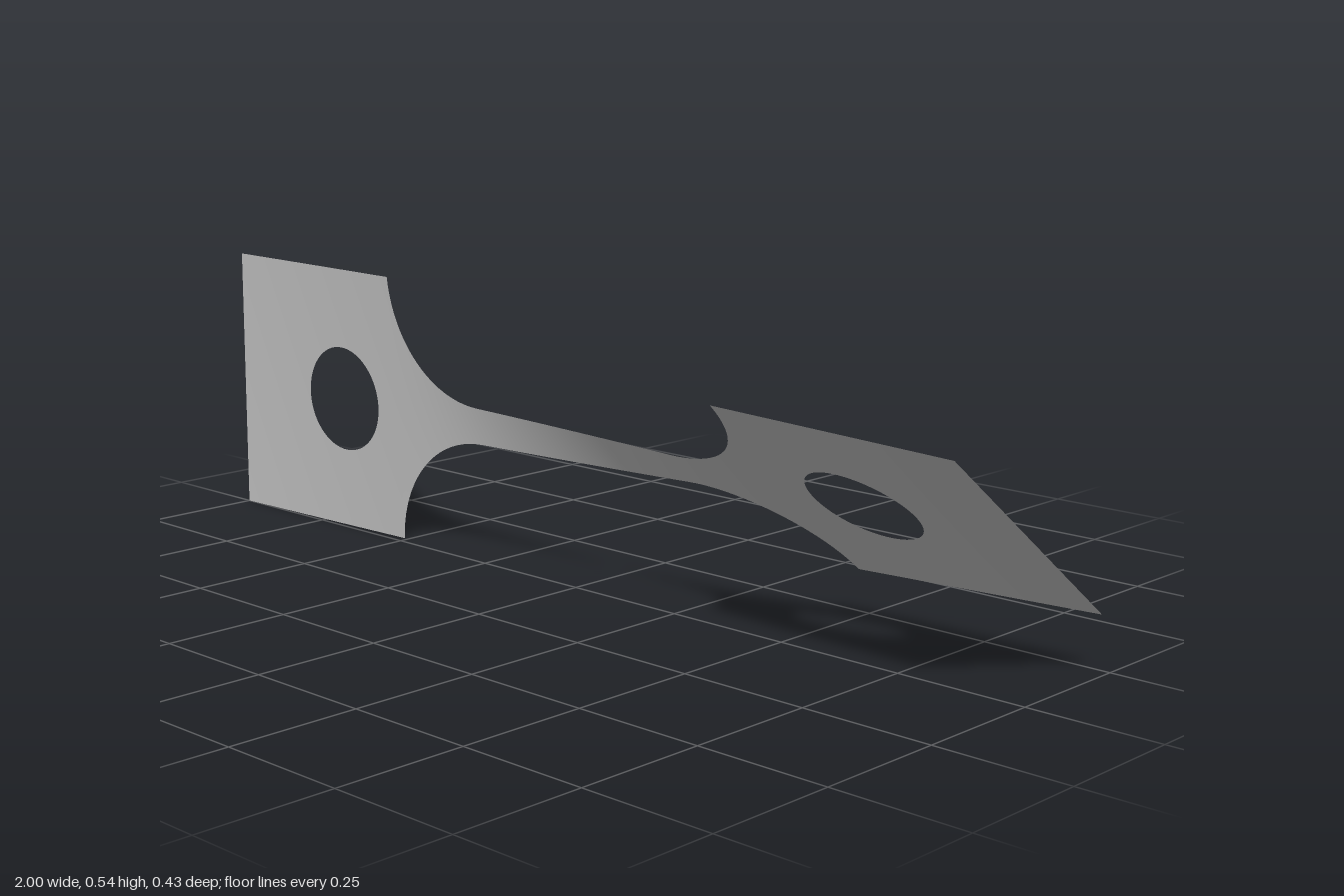
import * as THREE from 'three';

const CENTRE_Y = 0.271;          // height of the long axis
const GRIP_HALF = 0.271;         // half width of the end plates
const GAUGE_HALF = 0.038;        // half width of the narrow middle
const GRIP_X = 0.508;            // where the end plates begin
const FILLET_X = 0.262;          // where the straight middle ends
const HOLE_X = 0.67, HOLE_R = 0.108;
const TWIST = THREE.MathUtils.degToRad(52.9);

// Fillet arc, tangent to the narrow middle and reaching the plate corner
const run = GRIP_X - FILLET_X, rise = GRIP_HALF - GAUGE_HALF;
const FILLET_R = (run * run + rise * rise) / (2 * rise);

function halfWidth(x) {
  const a = Math.abs(x);
  if (a >= GRIP_X) return GRIP_HALF;
  if (a <= FILLET_X) return GAUGE_HALF;
  const d = a - FILLET_X;
  return GAUGE_HALF + FILLET_R - Math.sqrt(Math.max(0, FILLET_R * FILLET_R - d * d));
}

function holeHalf(x) {
  const d = Math.abs(x) - HOLE_X;
  return Math.sqrt(Math.max(0, HOLE_R * HOLE_R - d * d));
}

// Torsion of a thin strip: the twist rate is inverse to the local width
const STEPS = 1000;
const angles = [0];
for (let i = 0; i < STEPS; i++) {
  angles.push(angles[i] + 1 / halfWidth(-1 + (2 * (i + 0.5)) / STEPS));
}
const scale = TWIST / angles[STEPS];
function twistAt(x) {
  const t = THREE.MathUtils.clamp(((x + 1) / 2) * STEPS, 0, STEPS);
  const i = Math.min(STEPS - 1, Math.floor(t));
  return scale * THREE.MathUtils.lerp(angles[i], angles[i + 1], t - i);
}

// Twisted sheet over ascending columns; each column has a lower and an upper span
function sheet(columns, rows) {
  const pos = [], norm = [], index = [];
  for (const side of [-1, 1]) {
    const base = pos.length / 3;
    for (const x of columns) {
      const a = twistAt(x), c = Math.cos(a), s = Math.sin(a);
      const rate = (scale * STEPS) / 2 / halfWidth(x);
      const inner = side * holeHalf(x), outer = side * halfWidth(x);
      const from = Math.min(inner, outer), to = Math.max(inner, outer);
      for (let j = 0; j <= rows; j++) {
        const v = THREE.MathUtils.lerp(from, to, j / rows);
        pos.push(x, CENTRE_Y + v * c, v * s);
        const n = new THREE.Vector3(-v * rate, -s, c).normalize();
        norm.push(n.x, n.y, n.z);
      }
    }
    for (let i = 0; i < columns.length - 1; i++) {
      for (let j = 0; j < rows; j++) {
        const p = base + i * (rows + 1) + j, q = p + rows + 1;
        index.push(p, q, q + 1, p, q + 1, p + 1);
      }
    }
  }
  const g = new THREE.BufferGeometry();
  g.setAttribute('position', new THREE.Float32BufferAttribute(pos, 3));
  g.setAttribute('normal', new THREE.Float32BufferAttribute(norm, 3));
  g.setIndex(index);
  return g;
}

// Columns of an end plate: packed towards the sides of the hole
function gripColumns(sign) {
  const xs = [GRIP_X];
  for (let i = 0; i <= 32; i++) xs.push(HOLE_X - HOLE_R * Math.cos((Math.PI * i) / 32));
  for (let i = 1; i <= 4; i++) xs.push(THREE.MathUtils.lerp(HOLE_X + HOLE_R, 1, i / 4));
  return xs.map((x) => sign * x).sort((a, b) => a - b);
}

// Columns of the middle: even along the straight, by angle along the fillets
function gaugeColumns() {
  const xs = [];
  const end = Math.asin(Math.min(1, run / FILLET_R));
  for (let i = 1; i <= 20; i++) {
    const x = i === 20 ? GRIP_X : FILLET_X + FILLET_R * Math.sin((end * i) / 20);
    xs.push(x, -x);
  }
  for (let i = 0; i <= 40; i++) xs.push(FILLET_X * (i / 20 - 1));
  return xs.sort((a, b) => a - b);
}

export function createModel() {
  const model = new THREE.Group();
  model.name = 'twistedTestStrip';
  const steel = new THREE.MeshStandardMaterial({ color: 0xc4c4c4, side: THREE.DoubleSide });
  steel.name = 'light grey steel';

  const add = (name, columns, rows) => {
    const mesh = new THREE.Mesh(sheet(columns, rows), steel);
    mesh.name = name;
    model.add(mesh);
  };
  add('rightGripPlate', gripColumns(-1), 4);
  add('twistedNeck', gaugeColumns(), 6);
  add('leftGripPlate', gripColumns(1), 4);
  return model;
}
